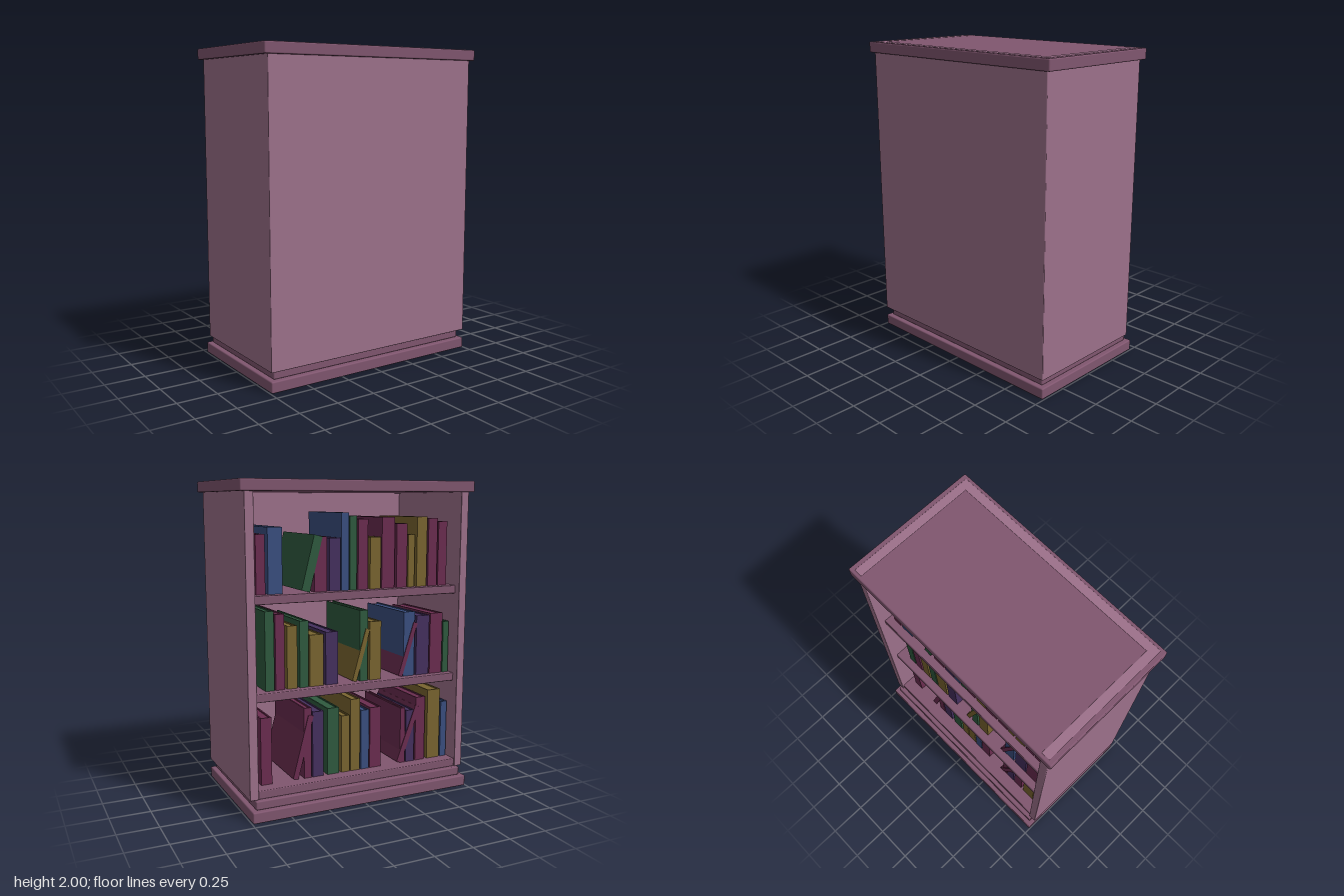
import * as THREE from 'three';
import { RoundedBoxGeometry } from 'three/addons/geometries/RoundedBoxGeometry.js';

const paint = (color) => new THREE.MeshStandardMaterial({ color });
const WALL = paint(0x9d718b);
const TRIM = paint(0x80566f);
const COVERS = {
  m: paint(0x6b2d50), // maroon
  b: paint(0x3a4f80), // blue
  g: paint(0x2f5a3f), // green
  y: paint(0x7a6530), // ochre
  p: paint(0x45305f), // purple
};

// Soft-edged board given by its min and max corner
function board(name, [x0, y0, z0], [x1, y1, z1], material, bevel = 0.008) {
  const geometry = new RoundedBoxGeometry(x1 - x0, y1 - y0, z1 - z0, 2, bevel);
  const mesh = new THREE.Mesh(geometry, material);
  mesh.position.set((x0 + x1) / 2, (y0 + y1) / 2, (z0 + z1) / 2);
  mesh.name = name;
  return mesh;
}

// Book with a U-shaped cover and an inset page block; its origin is the
// bottom -x corner of the spine, so it can be tilted about that edge
function book(width, height, depth, material) {
  const group = new THREE.Group();
  group.name = 'book';
  const t = Math.min(0.009, width / 4);
  const outline = [
    [0, 0], [width, 0], [width, depth], [width - t, depth],
    [width - t, t], [t, t], [t, depth], [0, depth],
  ].map(([x, z]) => new THREE.Vector2(x, -z));
  const geometry = new THREE.ExtrudeGeometry(new THREE.Shape(outline), {
    depth: height, bevelEnabled: false,
  });
  geometry.rotateX(-Math.PI / 2);
  const cover = new THREE.Mesh(geometry, material);
  cover.name = 'bookCover';
  const pages = new THREE.Mesh(
    new THREE.BoxGeometry(width - 2 * t, height - 0.016, depth - t - 0.008), material);
  pages.position.set(width / 2, height / 2, t + (depth - t - 0.008) / 2);
  pages.name = 'bookPages';
  group.add(cover, pages);
  return group;
}

// Rows of books: [colour, x of the -x edge, width, height, lean]
const ROWS = [
  { floor: 0.175, books: [
    ['m', 0.57, 0.07, 0.42], ['m', 0.40, 0.035, 0.41, 0.26], ['m', 0.308, 0.05, 0.45],
    ['p', 0.226, 0.074, 0.42], ['g', 0.12, 0.08, 0.43], ['y', 0.046, 0.057, 0.37],
    ['y', -0.028, 0.066, 0.47], ['b', -0.093, 0.057, 0.39], ['m', -0.18, 0.08, 0.40],
    ['m', -0.33, 0.035, 0.39, 0.36], ['m', -0.36, 0.035, 0.37], ['p', -0.43, 0.062, 0.35],
    ['m', -0.51, 0.07, 0.43], ['y', -0.625, 0.095, 0.47], ['b', -0.68, 0.045, 0.38],
  ] },
  { floor: 0.757, books: [
    ['g', 0.546, 0.057, 0.48], ['m', 0.48, 0.058, 0.46], ['y', 0.398, 0.066, 0.385],
    ['g', 0.325, 0.057, 0.41], ['y', 0.226, 0.09, 0.32], ['p', 0.128, 0.082, 0.33],
    ['y', 0.0, 0.03, 0.34, 0.28], ['g', -0.08, 0.055, 0.45], ['y', -0.175, 0.08, 0.375],
    ['m', -0.33, 0.03, 0.36, 0.31], ['b', -0.42, 0.08, 0.42], ['p', -0.53, 0.095, 0.39],
    ['m', -0.63, 0.092, 0.40], ['g', -0.68, 0.042, 0.34],
  ] },
  { floor: 1.337, books: [
    ['m', 0.595, 0.057, 0.35], ['b', 0.488, 0.09, 0.39], ['g', 0.315, 0.055, 0.34, 0.25],
    ['m', 0.20, 0.084, 0.33], ['p', 0.11, 0.075, 0.32], ['b', 0.054, 0.049, 0.47],
    ['g', 0, 0.046, 0.45], ['m', -0.077, 0.067, 0.43], ['y', -0.167, 0.074, 0.32],
    ['m', -0.265, 0.09, 0.44], ['m', -0.355, 0.075, 0.40], ['y', -0.41, 0.046, 0.33],
    ['y', -0.50, 0.073, 0.44], ['m', -0.577, 0.066, 0.43], ['m', -0.65, 0.064, 0.41],
  ] },
];

export function createModel() {
  const model = new THREE.Group();
  model.name = 'bookcase';

  // Stepped plinth and overhanging top
  model.add(
    board('base', [-0.745, 0, -0.455], [0.745, 0.07, 0.435], TRIM),
    board('plinth', [-0.715, 0.07, -0.425], [0.715, 0.125, 0.405], TRIM),
    board('top', [-0.775, 1.93, -0.425], [0.775, 1.998, 0.455], TRIM),
  );

  // Closed panel and two sides, showing as an inlay in the top
  model.add(board('closedPanel', [-0.745, 0.125, 0.38], [0.745, 2, 0.435], WALL, 0.005));
  for (const side of [-1, 1]) {
    const wall = board('sidePanel', [0.69, 0.125, -0.405], [0.745, 2, 0.39], WALL, 0.005);
    wall.position.x *= side;
    model.add(wall);
  }

  // Shelves with their books, open towards -z
  ROWS.forEach(({ floor, books }, i) => {
    const front = i === 0 ? -0.395 : -0.36;
    model.add(board('shelf', [-0.695, floor - 0.052, front], [0.695, floor, 0.385], TRIM, 0.006));
    const row = new THREE.Group();
    row.name = 'bookRow';
    for (const [colour, x, width, height, lean = 0] of books) {
      const item = book(width, height, 0.5, COVERS[colour]);
      item.position.set(x, floor, lean ? -0.315 : -0.31);
      item.rotation.z = lean;
      row.add(item);
    }
    model.add(row);
  });

  return model;
}
